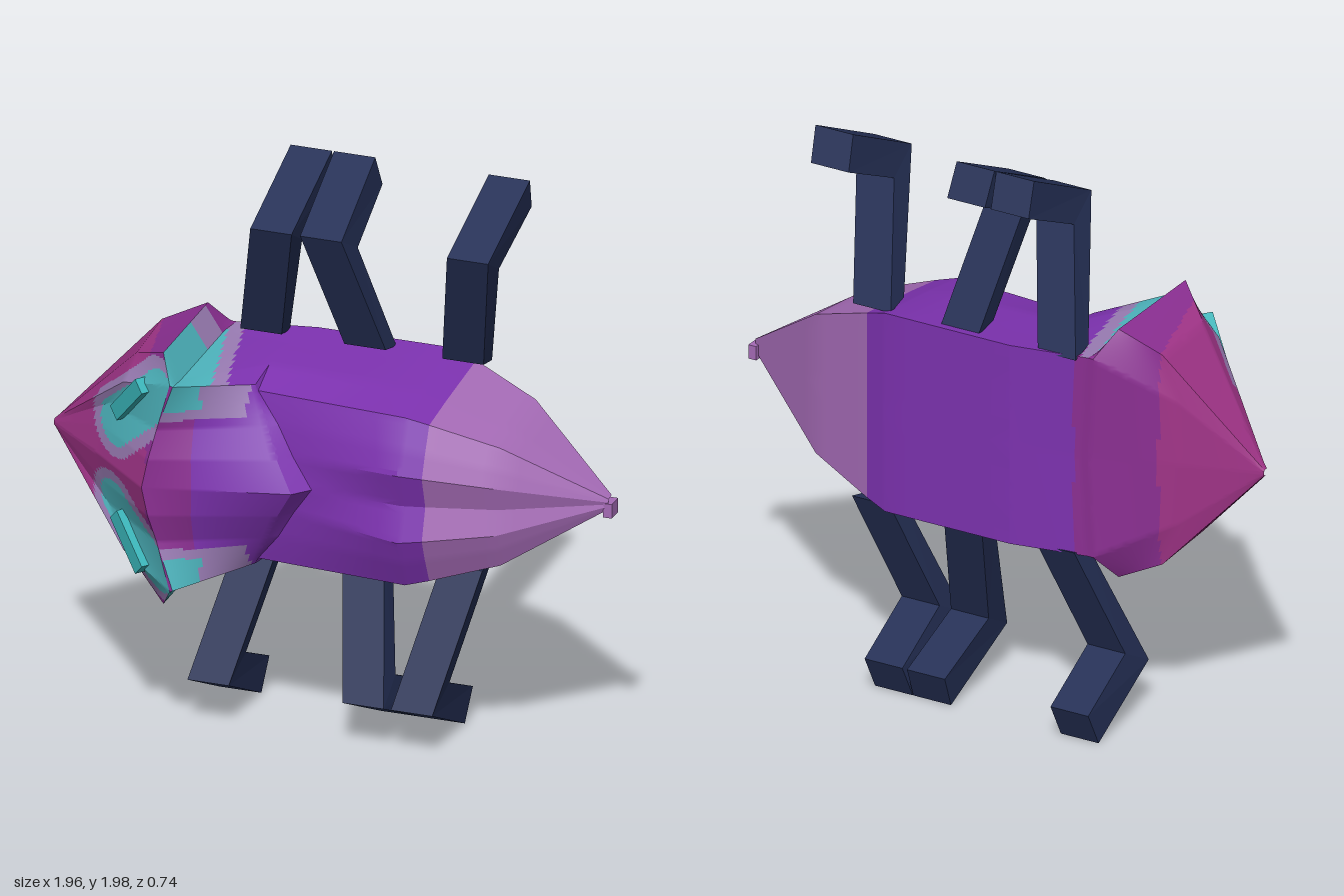
import * as THREE from 'three';
import { toCreasedNormals } from 'three/addons/utils/BufferGeometryUtils.js';

const CY = 1.005; // height of the symmetry plane

function material(name, color) {
  const m = new THREE.MeshStandardMaterial({ color });
  m.name = name;
  return m;
}

// Half cross-sections [x, side, z], from the middle of the back round to the middle of the belly
const snout = Array.from({ length: 8 }, (_, j) => [-0.98, 0.012 * Math.sin(j * Math.PI / 7), -0.045 + 0.012 * Math.cos(j * Math.PI / 7)]);
const face = [[-0.75, 0, 0.16], [-0.74, 0.1, 0.145], [-0.72, 0.18, 0.14], [-0.64, 0.3, 0.22],
  [-0.62, 0.38, 0.15], [-0.64, 0.38, -0.14], [-0.7, 0.22, -0.14], [-0.72, 0, -0.14]];
const rim = [[-0.52, 0, 0.37], [-0.5, 0.1, 0.365], [-0.48, 0.2, 0.335], [-0.43, 0.37, 0.345],
  [-0.48, 0.45, 0.27], [-0.49, 0.45, -0.17], [-0.44, 0.36, -0.25], [-0.42, 0, -0.25]];
const neck = [[-0.52, 0, 0.37], [-0.5, 0.1, 0.365], [-0.48, 0.2, 0.335], [-0.42, 0.365, 0.345],
  [-0.42, 0.36, 0.27], [-0.43, 0.36, -0.17], [-0.42, 0.36, -0.25], [-0.4, 0, -0.25]];
const shieldEdge = [[-0.04, 0, 0.25], [-0.1, 0.1, 0.22], [-0.15, 0.2, 0.18], [-0.21, 0.32, 0.13],
  [-0.21, 0.34, 0], [-0.2, 0.35, -0.17], [-0.15, 0.36, -0.3], [-0.15, 0, -0.3]];
const shieldFoot = [[0.01, 0, 0.19], [-0.06, 0.1, 0.175], [-0.12, 0.2, 0.155], [-0.2, 0.3, 0.13],
  ...shieldEdge.slice(4)];
const rump = [[0.33, 0, 0.21], [0.33, 0.12, 0.245], [0.33, 0.2, 0.215], [0.33, 0.3, 0.17],
  [0.33, 0.325, 0], [0.33, 0.345, -0.17], [0.33, 0.36, -0.3], [0.33, 0, -0.3]];
const tail = (x, k) => rump.map(([, v, z]) => [x, v * k, -0.06 + (z + 0.06) * k]);
const rings = [snout, face, rim, neck, shieldEdge, shieldFoot, rump, tail(0.41, 0.93), tail(0.64, 0.7), tail(0.965, 0.06)];

// Colour index: 0 magenta, 1 plum, 2 purple, 3 mauve, 4 teal, 5 lavender
function colourAt(strip, j, x, v, z) {
  if (strip >= 7) return 3;
  if (strip <= 1 && j < 4) { // patch around the eye
    const t = THREE.MathUtils.clamp(((x + 0.68) * 0.2 + (v - 0.14) * 0.18) / (0.2 * 0.2 + 0.18 * 0.18), 0, 1);
    const d = Math.hypot(x + 0.68 - 0.2 * t, v - 0.14 - 0.18 * t);
    if (d < 0.075) return 4;
    if (d < 0.11) return 5;
  }
  if (strip === 2 && j >= 3 && z > -0.15) return z > 0 ? 4 : 5;
  if (strip === 3 && j >= 3 && j < 6) {
    const t = x + 0.38 - 0.24 * z;
    if (t < 0) return 4;
    if (t < 0.05) return 5;
  }
  if (strip === 3 && j === 2 && v > 0.23) {
    if (x < -0.35 && v > 0.265) return 4;
    if (x < -0.22) return 5;
  }
  if (x < -0.6 + 0.25 * z) return 0;
  return x < -0.37 ? 1 : 2;
}

// Lofted body skin, each patch divided finely so the colour bands can be cut out
function bodySkin() {
  const buckets = [[], [], [], [], [], []];
  const a = new THREE.Vector3(), b = new THREE.Vector3(), c = new THREE.Vector3();
  const addTriangle = (bucket, p, q, r, side) => {
    a.set(...p); b.set(...q); c.set(...r);
    if (b.clone().sub(a).cross(c.clone().sub(a)).length() < 1e-9) return;
    for (const s of side > 0 ? [p, q, r] : [p, r, q]) bucket.push(s[0], CY + side * s[1], s[2]);
  };
  for (let i = 0; i < rings.length - 1; i++) for (let j = 0; j < 7; j++) {
    const n = i < 5 ? 18 : 5;
    const at = (s, t) => [0, 1, 2].map(k =>
      (rings[i][j][k] * (1 - t) + rings[i][j + 1][k] * t) * (1 - s) +
      (rings[i + 1][j][k] * (1 - t) + rings[i + 1][j + 1][k] * t) * s);
    for (let s = 0; s < n; s++) for (let t = 0; t < n; t++) {
      const p = at(s / n, t / n), q = at((s + 1) / n, t / n);
      const r = at((s + 1) / n, (t + 1) / n), u = at(s / n, (t + 1) / n);
      const bucket = buckets[colourAt(i, j, ...at((s + 0.5) / n, (t + 0.5) / n))];
      for (const side of [1, -1]) {
        addTriangle(bucket, p, q, r, side);
        addTriangle(bucket, p, r, u, side);
      }
    }
  }
  const geo = new THREE.BufferGeometry();
  geo.setAttribute('position', new THREE.Float32BufferAttribute(buckets.flat(), 3));
  let start = 0;
  buckets.forEach((bucket, k) => {
    geo.addGroup(start, bucket.length / 3, k);
    start += bucket.length / 3;
  });
  return toCreasedNormals(geo, 0.45);
}

// Bent leg: side profile extruded, then leaned along x from root to knee to foot
function legGeometry(side, root, knee, foot) {
  const profile = [[-0.18, 0.37], [0.02, 0.825], [-0.32, 0.99], [-0.37, 0.875], [-0.11, 0.755], [-0.27, 0.35]];
  const shape = new THREE.Shape(profile.map(([z, v]) => new THREE.Vector2(z, v)));
  const geo = new THREE.ExtrudeGeometry(shape, { depth: 0.145, bevelEnabled: false });
  const p = geo.attributes.position;
  for (let i = 0; i < p.count; i++) {
    const z = p.getX(i), v = p.getY(i), w = p.getZ(i) - 0.0725;
    const x = v < 0.79
      ? THREE.MathUtils.mapLinear(v, 0.36, 0.79, root, knee)
      : THREE.MathUtils.mapLinear(v, 0.79, 0.97, knee, foot);
    p.setXYZ(i, x - side * w, CY + side * v, z);
  }
  geo.computeVertexNormals();
  return geo;
}

export function createModel() {
  const group = new THREE.Group();
  group.name = 'beetle';
  const skin = [
    material('magenta', 0xa13488), material('plum', 0x8b2f92), material('purple', 0x7d32b0),
    material('mauve', 0xa56bb6), material('teal', 0x4db4bd), material('lavender', 0x9a7cb4),
  ];
  const navy = material('navy', 0x253056);
  const eyeTeal = material('eyeTeal', 0x38b3b8);

  const add = (name, geo, mat) => {
    const mesh = new THREE.Mesh(geo, mat);
    mesh.name = name;
    group.add(mesh);
    return mesh;
  };

  add('body', bodySkin(), skin);

  // Tail knob
  add('tailKnob', new THREE.BoxGeometry(0.03, 0.05, 0.06), skin[3]).position.set(0.965, CY - 0.02, -0.065);

  // Legs: side, then x of root, knee and foot
  const legs = [
    [1, -0.31, -0.2, -0.185], [1, 0.06, -0.02, -0.03], [1, 0.4, 0.49, 0.51],
    [-1, -0.31, -0.415, -0.43], [-1, 0.05, 0.125, 0.135], [-1, 0.4, 0.3, 0.285],
  ];
  legs.forEach((leg, i) => add(`leg${i + 1}`, legGeometry(...leg), navy));

  // Eyes: slim blocks lying on the sloping face
  for (const side of [1, -1]) {
    const along = new THREE.Vector3(0.13, 0.16 * side, 0.093).normalize();
    const out = new THREE.Vector3(-0.582, 0, 0.813).normalize();
    const across = out.clone().cross(along).normalize();
    const eye = add(side > 0 ? 'upperEye' : 'lowerEye', new THREE.BoxGeometry(0.21, 0.055, 0.04), eyeTeal);
    eye.quaternion.setFromRotationMatrix(new THREE.Matrix4().makeBasis(along, across, out));
    eye.position.set(-0.605, CY + 0.255 * side, 0.242);
  }
  return group;
}
